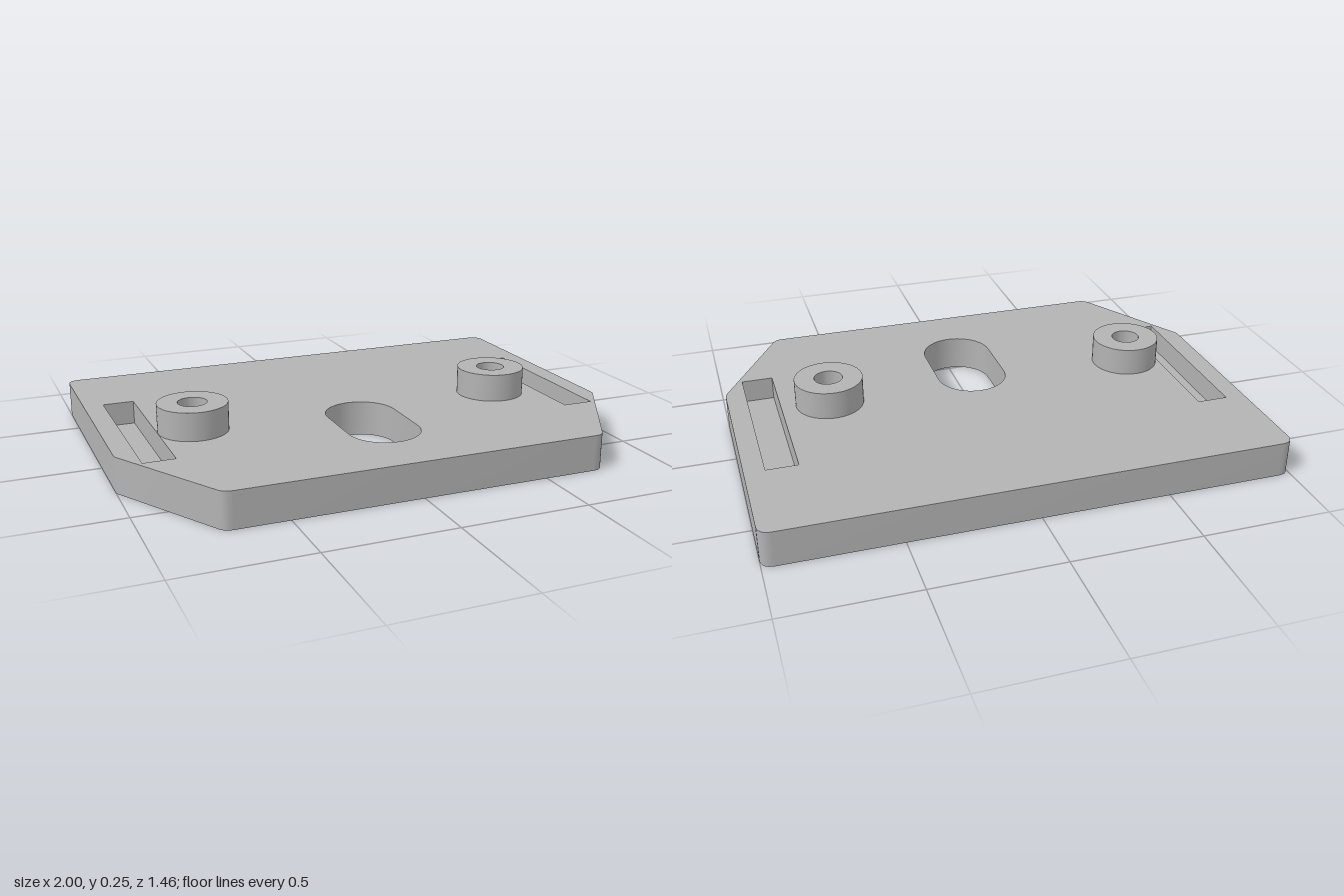
import * as THREE from 'three';
import { toCreasedNormals } from 'three/addons/utils/BufferGeometryUtils.js';

// Outlines are drawn in plan with (x, -z), then laid flat with y up.
const THICK = 0.14, FLOOR = 0.047, BOSS_TOP = 0.25;

// Closed polygon; each corner is [x, z, rounding length]
function polygon(corners) {
  const v = corners.map(([x, z]) => new THREE.Vector2(x, -z));
  const n = v.length, pts = [];
  corners.forEach(([, , t], i) => {
    if (!t) return pts.push(v[i]);
    const toward = (w) => v[i].clone().add(w.clone().sub(v[i]).setLength(t));
    pts.push(...new THREE.QuadraticBezierCurve(
      toward(v[(i + n - 1) % n]), v[i], toward(v[(i + 1) % n])).getPoints(8));
  });
  return pts;
}

// Round outline, stretched into a slot when half > 0
function slot(x, z, r, half = 0, n = 48) {
  const pts = [];
  for (let end = 0; end < 2; end++) {
    for (let i = 0; i < n / 2 + (half ? 1 : 0); i++) {
      const a = end * Math.PI + i * 2 * Math.PI / n;
      pts.push(new THREE.Vector2(x + r * Math.cos(a), -z + r * Math.sin(a) + (end ? -half : half)));
    }
  }
  return pts;
}

// Flat face with holes at height y, facing up or down
function cap(outline, holes, y, up = true) {
  const shape = new THREE.Shape(outline);
  shape.holes = holes.map((h) => new THREE.Path(h));
  const g = new THREE.ShapeGeometry(shape);
  g.rotateX(-Math.PI / 2).translate(0, y, 0);
  if (!up) {
    g.index.array.reverse();
    g.computeVertexNormals();
  }
  return g;
}

// Upright wall along an outline, facing outward, or inward for holes
function wall(outline, y0, y1, inward = false) {
  const pts = THREE.ShapeUtils.isClockWise(outline) === inward ? outline : [...outline].reverse();
  const pos = [];
  pts.forEach((p, i) => {
    const q = pts[(i + 1) % pts.length];
    pos.push(p.x, y0, -p.y, q.x, y0, -q.y, q.x, y1, -q.y);
    pos.push(p.x, y0, -p.y, q.x, y1, -q.y, p.x, y1, -p.y);
  });
  const g = new THREE.BufferGeometry();
  g.setAttribute('position', new THREE.Float32BufferAttribute(pos, 3));
  return toCreasedNormals(g, 0.4);
}

export function createModel() {
  const model = new THREE.Group();
  model.name = 'mountingPlate';
  const grey = new THREE.MeshStandardMaterial({ color: 0xb3b3b3 });
  grey.name = 'plain grey';
  const group = (name) => {
    const g = new THREE.Group();
    g.name = name;
    model.add(g);
    return g;
  };
  const add = (parent, name, geometry) => {
    const m = new THREE.Mesh(geometry, grey);
    m.name = name;
    parent.add(m);
  };

  const outline = polygon([
    [-1, -0.73, 0.05], [-1, 0.27, 0.013], [-0.734, 0.73, 0.03],
    [0.734, 0.73, 0.03], [1, 0.27, 0.013], [1, -0.73, 0.05],
  ]);
  const centreSlot = slot(0, 0.26, 0.141, 0.109);
  const sides = [
    { name: 'right', boss: -0.664, x0: -0.922, x1: -0.8 },
    { name: 'left', boss: 0.607, x0: 0.8, x1: 0.922 },
  ].map((s) => ({
    ...s,
    rim: slot(s.boss, 0.093, 0.135),
    bore: slot(s.boss, 0.093, 0.056),
    pocket: polygon([[s.x0, -0.34, 0], [s.x0, 0.37, 0], [s.x1, 0.37, 0], [s.x1, -0.34, 0]]),
  }));

  // Base plate with the long centre slot
  const plate = group('basePlate');
  add(plate, 'topFace', cap(outline, [centreSlot, ...sides.flatMap((s) => [s.rim, s.pocket])], THICK));
  add(plate, 'bottomFace', cap(outline, [centreSlot, ...sides.map((s) => s.bore)], 0, false));
  add(plate, 'outerEdge', wall(outline, 0, THICK));
  add(plate, 'centreSlot', wall(centreSlot, 0, THICK, true));

  // Bored boss and shallow pocket on each side
  for (const s of sides) {
    const boss = group(s.name + 'Boss');
    add(boss, 'bossSide', wall(s.rim, THICK, BOSS_TOP));
    add(boss, 'bossTop', cap(s.rim, [s.bore], BOSS_TOP));
    add(boss, 'bore', wall(s.bore, 0, BOSS_TOP, true));

    const pocket = group(s.name + 'Pocket');
    add(pocket, 'pocketWalls', wall(s.pocket, FLOOR, THICK, true));
    add(pocket, 'pocketFloor', cap(s.pocket, [], FLOOR));
  }
  return model;
}
